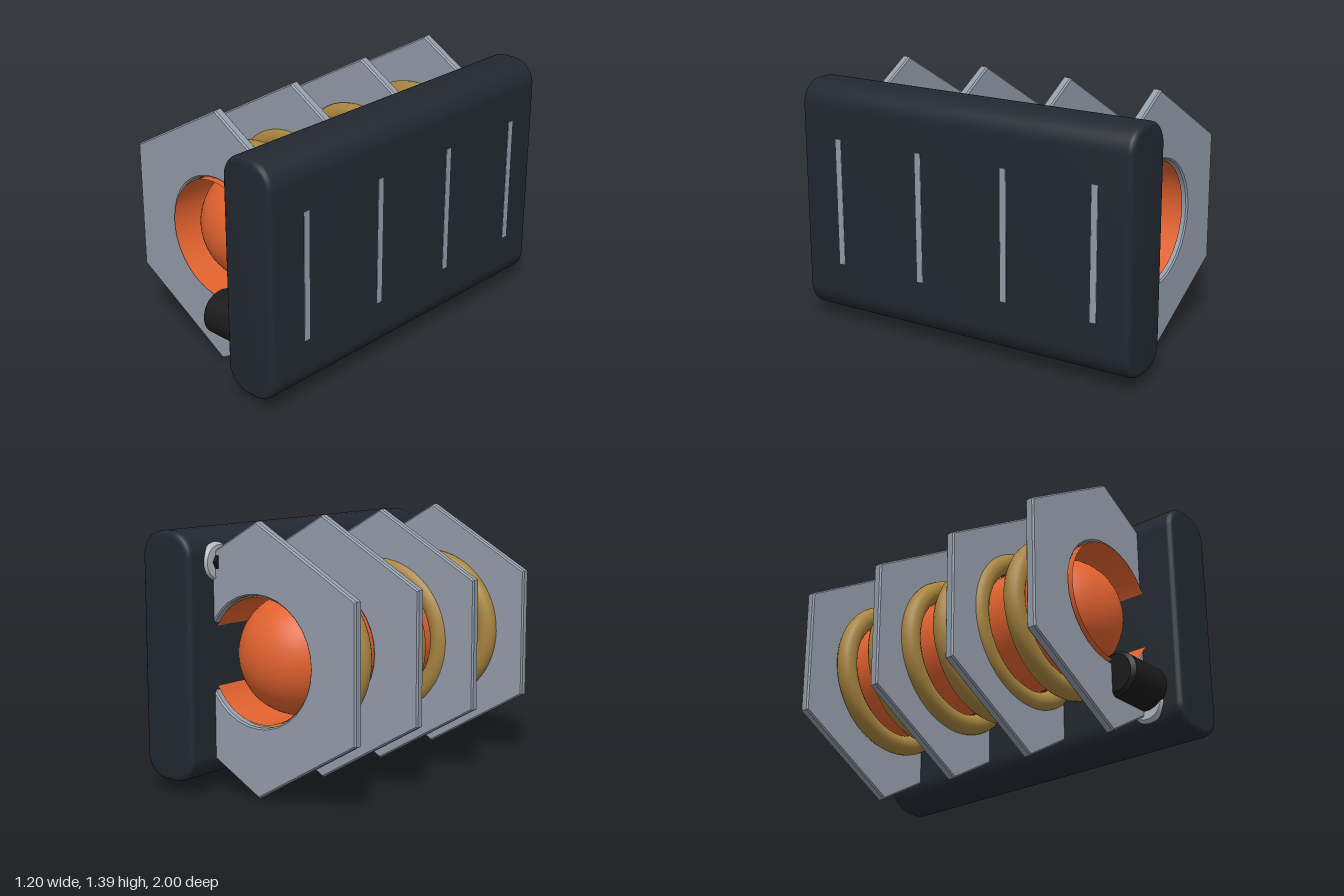
import * as THREE from 'three';
import { toCreasedNormals } from 'three/addons/utils/BufferGeometryUtils.js';

const CY = 0.693; // height of the core axis

const paint = (color, side = THREE.FrontSide) => new THREE.MeshStandardMaterial({ color, side });
const steel = paint(0x939caa);
const orange = paint(0xe2622f, THREE.DoubleSide);
const brass = paint(0xa8853f);
const navy = paint(0x222831);
const black = paint(0x1a1a1a);
const silver = paint(0xb4b8be);

export function createModel() {
  const model = new THREE.Group();
  const add = (name, geometry, material, x, y, z) => {
    const mesh = new THREE.Mesh(geometry, material);
    mesh.name = name;
    mesh.position.set(x, y, z);
    model.add(mesh);
    return mesh;
  };

  // Hexagonal fins with a round hole and a fine edge bevel
  const bevel = 0.008;
  const hex = new THREE.Shape();
  for (let i = 0; i < 6; i++) {
    const a = Math.PI / 2 + (i * Math.PI) / 3;
    const r = CY - bevel / Math.cos(Math.PI / 6);
    hex[i ? 'lineTo' : 'moveTo'](r * Math.cos(a), r * Math.sin(a));
  }
  hex.closePath();
  const hole = new THREE.Path();
  hole.absarc(0, 0, 0.33 + bevel, 0, Math.PI * 2, true);
  hex.holes.push(hole);
  const finGeometry = toCreasedNormals(new THREE.ExtrudeGeometry(hex, {
    depth: 0.05 - 2 * bevel, bevelThickness: bevel, bevelSize: bevel, bevelSegments: 1, curveSegments: 16,
  }), 0.5);
  finGeometry.translate(0, 0, -0.025 + bevel);
  for (let i = 0; i < 4; i++) add('fin', finGeometry, steel, 0, CY, -0.8 + i * 0.52);

  // Open core tube with a round-ended slug inside
  const tube = new THREE.CylinderGeometry(0.32, 0.32, 1.6, 48, 1, true).rotateX(Math.PI / 2);
  add('coreTube', tube, orange, 0, CY, 0);
  const slug = new THREE.CapsuleGeometry(0.319, 0.96, 16, 48).rotateX(Math.PI / 2);
  add('coreSlug', slug, orange, 0, CY, 0);

  // Coil rings
  const ring = new THREE.TorusGeometry(0.38, 0.055, 16, 56);
  for (let i = -3; i <= 3; i++) add('coilRing', ring, brass, 0, CY, i * 0.24);

  // Rounded side panel; the fins reach its outer face as slits
  const b = 0.03, hw = 0.1595 - b, hh = 0.635 - b, r = 0.1;
  const outline = new THREE.Shape();
  outline.moveTo(hw, -hh + r);
  outline.absarc(hw - r, hh - r, r, 0, Math.PI / 2);
  outline.absarc(-hw + r, hh - r, r, Math.PI / 2, Math.PI);
  outline.absarc(-hw + r, -hh + r, r, Math.PI, Math.PI * 1.5);
  outline.absarc(hw - r, -hh + r, r, Math.PI * 1.5, Math.PI * 2);
  const panel = toCreasedNormals(new THREE.ExtrudeGeometry(outline, {
    depth: 2 - 2 * b, bevelThickness: b, bevelSize: b, bevelSegments: 4, curveSegments: 10,
  }), 0.6);
  panel.translate(0, 0, -1 + b);
  add('sidePanel', panel, navy, 0.4395, CY + 0.002, 0);

  // Black plug with chamfered ends, lying along x
  const plugProfile = [[0, 0], [0.1, 0], [0.12, 0.02], [0.12, 0.28], [0.1, 0.3], [0, 0.3]]
    .map(([x, y]) => new THREE.Vector2(x, y));
  const plug = toCreasedNormals(new THREE.LatheGeometry(plugProfile, 32), 0.5).rotateZ(-Math.PI / 2);
  add('plug', plug, black, 0, 0.3, 0.8);

  // Two screws on the inner face of the panel, in opposite corners
  const head = toCreasedNormals(new THREE.CylinderGeometry(0.085, 0.1, 0.025, 32), 0.5).rotateZ(Math.PI / 2);
  const knob = toCreasedNormals(new THREE.CylinderGeometry(0.045, 0.045, 0.04, 6), 0.5).rotateZ(Math.PI / 2);
  for (const [y, z] of [[1.172, -0.8], [0.22, 0.8]]) {
    add('screwHead', head, silver, 0.277, y, z);
    add('screwKnob', knob, black, 0.265, y, z);
  }
  return model;
}
